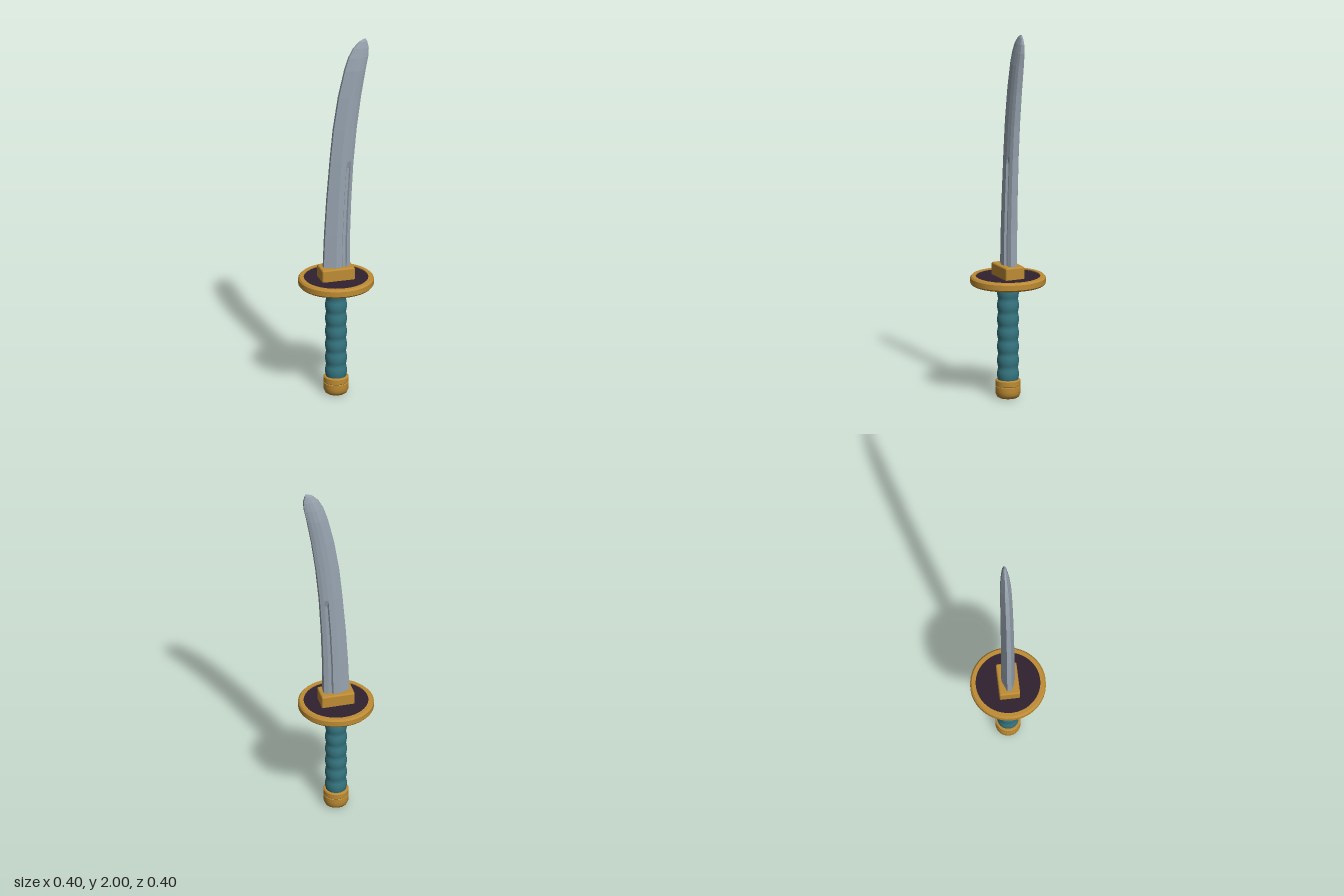
import * as THREE from 'three';
import { toCreasedNormals } from 'three/addons/utils/BufferGeometryUtils.js';
import { RoundedBoxGeometry } from 'three/addons/geometries/RoundedBoxGeometry.js';

const material = (name, color) => {
  const m = new THREE.MeshStandardMaterial({ color });
  m.name = name;
  return m;
};

// Blade rows: height, edge x, spine x, half thickness
const ROWS = [
  [0.70, -0.071, 0.070, 0.036], [0.90, -0.063, 0.072, 0.036],
  [1.10, -0.051, 0.079, 0.035], [1.28, -0.036, 0.089, 0.034],
  [1.32, -0.033, 0.092, 0.034], [1.50, -0.015, 0.109, 0.033],
  [1.68, 0.013, 0.133, 0.032], [1.83, 0.047, 0.159, 0.030],
  [1.90, 0.069, 0.174, 0.024], [1.95, 0.095, 0.178, 0.017],
  [1.985, 0.127, 0.171, 0.009], [2.0, 0.154, 0.164, 0.001],
];
const GROOVE_END = 1.3;

// One cross-section: sharp edge, flat ridge, grooved slope to the spine
function bladeSection([y, x0, x1, t]) {
  const g = y < GROOVE_END ? 0.68 : 1;
  const side = [
    [0, 0.33], [0.43, 1], [0.66, 0.97], [0.70, 0.93 * g],
    [0.82, 0.82 * g], [0.86, 0.78], [1, 0.5],
  ];
  const at = (s) => ([u, w]) => new THREE.Vector3(x0 + (x1 - x0) * u, y, s * w * t);
  return [...side.map(at(1)), ...side.map(at(-1)).reverse()];
}

function bladeGeometry() {
  const rings = ROWS.map(bladeSection);
  const points = [];
  const n = rings[0].length;
  for (let i = 0; i < rings.length - 1; i++) {
    for (let j = 0; j < n; j++) {
      const k = (j + 1) % n;
      const a = rings[i][j], b = rings[i][k], c = rings[i + 1][k], d = rings[i + 1][j];
      points.push(a, b, c, a, c, d);
    }
  }
  // Tip and base caps
  const top = rings[rings.length - 1], base = rings[0];
  for (let j = 1; j < n - 1; j++) {
    points.push(top[0], top[j], top[j + 1], base[0], base[j + 1], base[j]);
  }
  const geometry = new THREE.BufferGeometry().setFromPoints(points);
  geometry.computeVertexNormals();
  return geometry;
}

function lathe(profile, segments = 40, crease = 0.5) {
  const g = new THREE.LatheGeometry(profile.map(([r, y]) => new THREE.Vector2(r, y)), segments);
  return toCreasedNormals(g, crease);
}

export function createModel() {
  const model = new THREE.Group();
  model.name = 'sword';
  const steel = material('steel', 0x98a4b0);
  const gold = material('gold', 0xbe8c34);
  const teal = material('teal wrap', 0x357580);
  const dark = material('dark plum', 0x30222f);

  const add = (name, geometry, mat, y = 0) => {
    const mesh = new THREE.Mesh(geometry, mat);
    mesh.name = name;
    mesh.position.y = y;
    model.add(mesh);
    return mesh;
  };

  add('blade', bladeGeometry(), steel);

  // Collar between blade and guard
  add('bladeCollar', new RoundedBoxGeometry(0.18, 0.08, 0.11, 2, 0.009), gold, 0.682);

  // Round guard: bevelled rim around a recessed disc
  add('guardRim', lathe([
    [0.171, 0.622], [0.171, 0.615], [0.192, 0.615], [0.2, 0.624],
    [0.2, 0.652], [0.192, 0.661], [0.171, 0.661], [0.171, 0.654],
  ]), gold);
  add('guardDisc', new THREE.CylinderGeometry(0.172, 0.172, 0.036, 40), dark, 0.638);
  add('gripRing', new THREE.CylinderGeometry(0.066, 0.066, 0.02, 32), gold, 0.616);

  // Grip with scalloped wrap
  const grip = [];
  const bumps = 7, steps = 6;
  for (let i = 0; i <= bumps * steps; i++) {
    const u = i / (bumps * steps);
    grip.push([0.052 + 0.006 * Math.abs(Math.sin(u * bumps * Math.PI)), 0.09 + 0.52 * u]);
  }
  add('grip', lathe(grip, 32, 0.6), teal);

  // Pommel cap with a thin seam
  add('pommel', lathe([
    [0, 0], [0.048, 0], [0.058, 0.007], [0.065, 0.022], [0.067, 0.04],
    [0.067, 0.062], [0.0645, 0.065], [0.067, 0.068], [0.067, 0.094],
    [0.063, 0.099], [0, 0.099],
  ], 32, 0.6), gold);

  return model;
}
